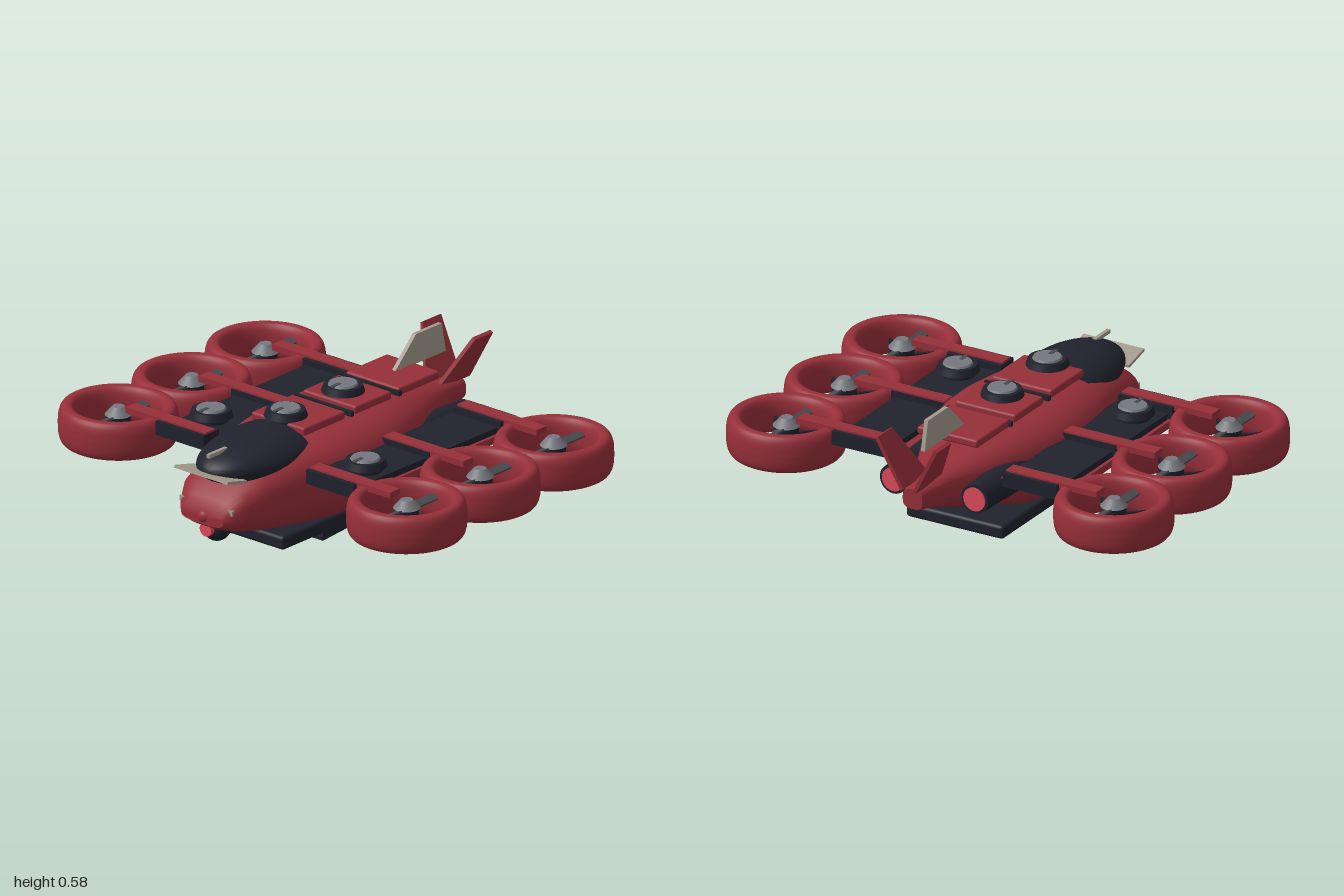
import * as THREE from 'three';
import { toCreasedNormals } from 'three/addons/utils/BufferGeometryUtils.js';
import { RoundedBoxGeometry } from 'three/addons/geometries/RoundedBoxGeometry.js';

function material(name, color) {
  const m = new THREE.MeshStandardMaterial({ color });
  m.name = name;
  return m;
}

// Superelliptic hull through sections [z, halfWidth, bottom, top], front to back
function loft(sections, power, sides = 48) {
  const pos = [], idx = [];
  const curve = (v) => Math.sign(v) * Math.pow(Math.abs(v), 2 / power);
  for (const [z, w, b, t] of sections) {
    for (let j = 0; j < sides; j++) {
      const a = (j / sides) * Math.PI * 2;
      pos.push(w * curve(Math.cos(a)), (b + t) / 2 + ((t - b) / 2) * curve(Math.sin(a)), z);
    }
  }
  const n = sections.length, last = sections[n - 1];
  pos.push(0, (sections[0][2] + sections[0][3]) / 2, sections[0][0]);
  pos.push(0, (last[2] + last[3]) / 2, last[0]);
  for (let j = 0; j < sides; j++) {
    const k = (j + 1) % sides;
    for (let i = 0; i < n - 1; i++) {
      const p = i * sides, q = p + sides;
      idx.push(p + j, q + j, p + k, q + j, q + k, p + k);
    }
    const e = (n - 1) * sides;
    idx.push(n * sides, j, k, n * sides + 1, e + k, e + j);
  }
  const g = new THREE.BufferGeometry();
  g.setAttribute('position', new THREE.Float32BufferAttribute(pos, 3));
  g.setIndex(idx);
  return toCreasedNormals(g, 0.7);
}

// Plate in the side plane from [z, y] points, thickness along x
function sidePlate(points, thick) {
  const s = new THREE.Shape(points.map(([z, y]) => new THREE.Vector2(-z, y)));
  const g = new THREE.ExtrudeGeometry(s, { depth: thick, bevelEnabled: false });
  return g.translate(0, 0, -thick / 2).rotateY(Math.PI / 2);
}

export function createModel() {
  const red = material('red paint', 0x962f39);
  const dark = material('dark navy', 0x20222d);
  const tan = material('warm grey', 0xa39b8d);
  const metal = material('grey metal', 0x74777d);
  const steel = material('dark steel', 0x484b4e);
  const glow = material('bright red light', 0xdc4a5a);

  const root = new THREE.Group();
  root.name = 'aircraft';
  const add = (name, geo, mat, x = 0, y = 0, z = 0, parent = root) => {
    const m = new THREE.Mesh(geo, mat);
    m.name = name;
    m.position.set(x, y, z);
    parent.add(m);
    return m;
  };
  const box = (w, h, d) => new THREE.BoxGeometry(w, h, d);
  const cyl = (r1, r2, h, n = 32) => new THREE.CylinderGeometry(r1, r2, h, n);

  // Fuselage
  add('fuselage', loft([
    [0.79, 0.11, 0.155, 0.215], [0.76, 0.14, 0.135, 0.26], [0.7, 0.175, 0.115, 0.32],
    [0.6, 0.2, 0.09, 0.36], [0.5, 0.225, 0.075, 0.39], [0.4, 0.25, 0.065, 0.41],
    [0.25, 0.285, 0.055, 0.425], [0.1, 0.3, 0.05, 0.435], [-0.05, 0.298, 0.05, 0.435],
    [-0.2, 0.265, 0.07, 0.43], [-0.35, 0.205, 0.115, 0.405], [-0.48, 0.145, 0.155, 0.375],
    [-0.6, 0.085, 0.195, 0.345], [-0.75, 0.045, 0.235, 0.32],
  ], 3), red);

  // Canopy, cut flat at the rear
  const canopy = [];
  for (let i = 0; i <= 16; i++) {
    const u = Math.sin((i / 16) * 1.87 - 0.3 + Math.PI / 2 - 1.57);
    const z = 0.43 + (i === 16 ? 0.335 : u * 0.335);
    const r = Math.sqrt(Math.max(0.0004, 1 - ((z - 0.43) / 0.335) ** 2));
    canopy.unshift([z, 0.185 * r, 0.362 - 0.095 * r, 0.362 + 0.097 * r]);
  }
  add('canopy', loft(canopy, 2), dark);
  add('canopyProbe', box(0.016, 0.016, 0.11), tan, 0, 0.432, 0.7);
  const visor = add('nosePlate', box(0.28, 0.012, 0.12), tan, 0, 0.352, 0.738);
  visor.rotation.x = -0.24;

  // Nose sensors
  add('noseBall', new THREE.SphereGeometry(0.032, 24, 16), red, 0, 0.185, 0.768);
  add('sensorBall', new THREE.SphereGeometry(0.058, 32, 20), dark, 0, 0.118, 0.7);
  add('sensorLens', cyl(0.03, 0.03, 0.04), glow, 0, 0.125, 0.75).rotation.x = Math.PI / 2;

  // Roof hatches and dark seams
  for (const [z, len] of [[0.21, 0.25], [-0.085, 0.22], [-0.36, 0.25]]) {
    add('roofHatch', new RoundedBoxGeometry(0.28, 0.035, len, 2, 0.01), red, 0, 0.443, z);
  }
  for (const z of [-0.235, 0.055]) add('roofSeam', box(0.3, 0.02, 0.018), dark, 0, 0.441, z);

  // Round turrets
  function turret(x, y, z) {
    const g = new THREE.Group();
    g.name = 'turret';
    g.position.set(x, y, z);
    root.add(g);
    add('turretBase', cyl(0.07, 0.07, 0.03), dark, 0, -0.005, 0, g);
    add('turretRing', cyl(0.078, 0.088, 0.028), dark, 0, 0.02, 0, g);
    add('turretCap', cyl(0.056, 0.062, 0.01), metal, 0, 0.037, 0, g);
    add('turretSlot', box(0.016, 0.006, 0.05), steel, 0, 0.041, 0.045, g);
  }
  turret(0, 0.462, 0.285);
  turret(0, 0.462, -0.06);

  // Belly tray
  add('bellyTray', new RoundedBoxGeometry(0.45, 0.058, 0.99, 3, 0.015), dark, 0, 0.057, 0.065);

  // Tail
  add('tailFin', sidePlate([[-0.36, 0.455], [-0.49, 0.58], [-0.645, 0.58], [-0.67, 0.455]], 0.018), tan);

  // Rounded duct ring profile
  const profile = [];
  for (let i = 0; i <= 28; i++) {
    const a = (i / 28) * Math.PI * 2, c = Math.cos(a), s = Math.sin(a);
    profile.push(new THREE.Vector2(
      0.205 + 0.036 * Math.sign(c) * Math.abs(c) ** 0.75,
      0.08 * Math.sign(s) * Math.abs(s) ** 0.75));
  }
  const duct = new THREE.LatheGeometry(profile, 56);

  function rotor(x, z, side) {
    const g = new THREE.Group();
    g.name = 'rotor';
    g.position.set(x, 0.28, z);
    root.add(g);
    add('duct', duct, red, 0, 0, 0, g);
    add('motor', cyl(0.05, 0.045, 0.1, 24), dark, 0, -0.015, 0, g);
    add('spinner', cyl(0.025, 0.055, 0.035, 24), metal, 0, 0.052, 0, g);
    for (const s of [-1, 1]) {
      const blade = add('blade', box(0.038, 0.008, 0.15), steel, 0, 0.03, s * 0.105, g);
      blade.rotation.z = 0.3 * s;
    }
    for (const a of [0.75, -0.75, 2.4, -2.4]) {
      const strut = add('strut', box(0.17, 0.022, 0.012), dark,
        Math.cos(a) * 0.11 * side, -0.01, Math.sin(a) * 0.11, g);
      strut.rotation.y = -a * side;
    }
  }

  // Mirrored parts
  for (const s of [1, -1]) {
    add('wingPlate', box(0.32, 0.03, 0.86), red, s * 0.36, 0.296, -0.02);
    add('wingPanel', box(0.24, 0.03, 0.8), dark, s * 0.385, 0.322, -0.03);
    turret(s * 0.405, 0.35, 0.27);
    for (const z of [0.425, -0.017, -0.46]) {
      rotor(s * 0.757, z, s);
      add('armBlock', box(0.25, 0.06, z === -0.017 ? 0.07 : 0.095), dark, s * 0.395, 0.332, z);
      add('arm', box(0.42, 0.025, 0.06), red, s * 0.485, 0.357, z);
    }
    add('skidRamp', sidePlate([[0.32, 0], [0.05, 0.02], [0.05, 0.04], [0.32, 0.04]], 0.07), dark, s * 0.19);
    add('noseLamp', box(0.05, 0.022, 0.03), tan, s * 0.113, 0.225, 0.752);
    // Engine nacelle with exhaust glow
    add('engine', cyl(0.062, 0.074, 0.4), dark, s * 0.188, 0.258, -0.385).rotation.x = -Math.PI / 2;
    add('exhaust', cyl(0.05, 0.05, 0.012), glow, s * 0.188, 0.258, -0.584).rotation.x = Math.PI / 2;
    // Splayed tail fin
    const fin = add('vTail',
      sidePlate([[-0.59, 0], [-0.69, 0.235], [-0.8, 0.235], [-0.785, 0]], 0.016), red, s * 0.028, 0.325, 0);
    fin.rotation.z = -s * 0.48;
  }
  return root;
}
